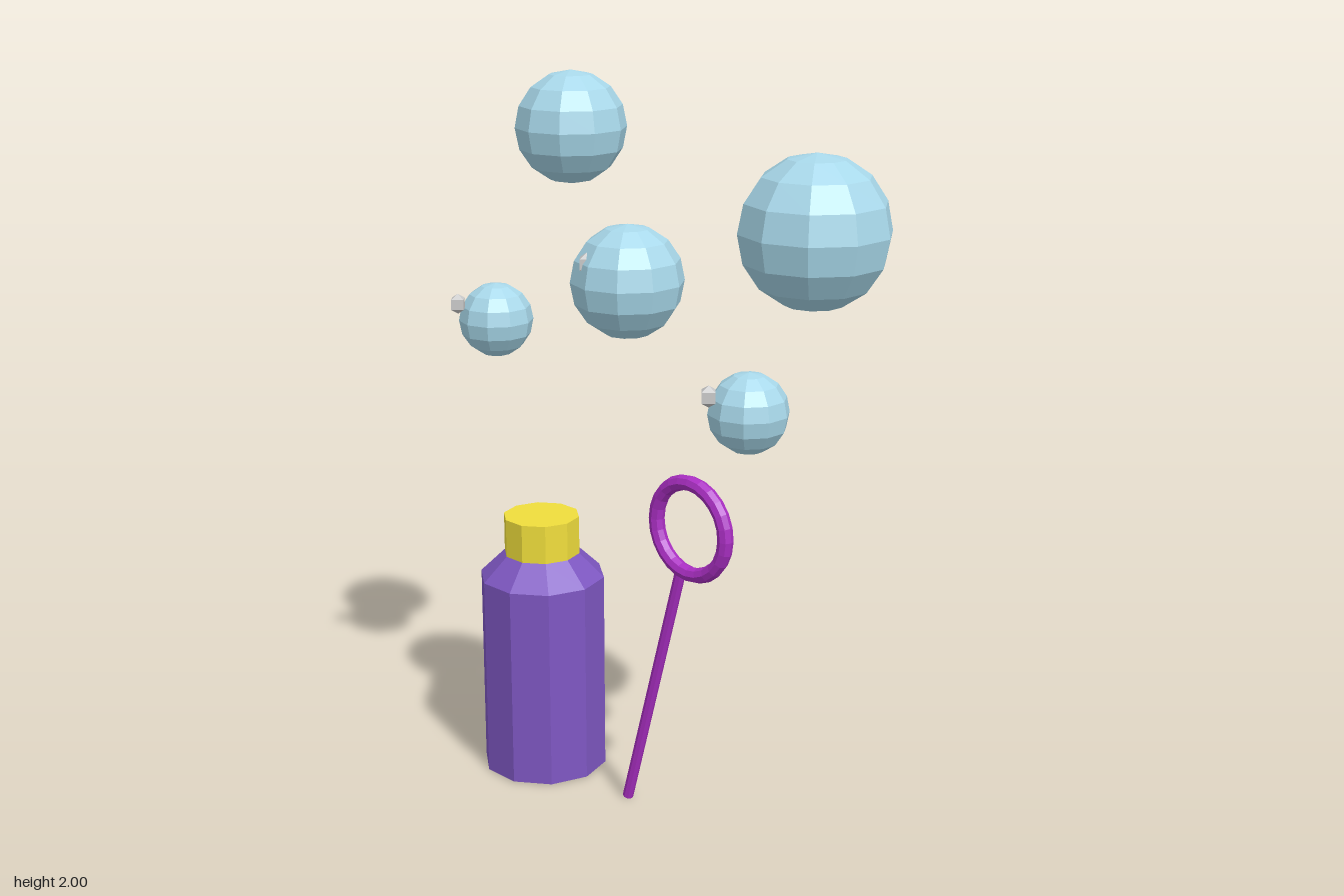
import * as THREE from 'three';

export function createModel() {
  const model = new THREE.Group();
  const paint = (color) => new THREE.MeshStandardMaterial({ color, flatShading: true });
  const purple = paint(0x7e57c2), yellow = paint(0xf0de3c), magenta = paint(0xab2fc4);
  const blue = paint(0xa8d8ea), grey = paint(0xcccccc);

  const add = (name, geometry, material, [x, y, z], parent = model) => {
    const mesh = new THREE.Mesh(geometry, material);
    mesh.name = name;
    mesh.position.set(x, y, z);
    parent.add(mesh);
    return mesh;
  };

  // Bottle: ten-sided body, sloping shoulder and cap, one corner facing +x
  const bottle = new THREE.Group();
  bottle.name = 'bottle';
  bottle.position.set(-0.417, 0, 0.022);
  bottle.rotation.y = Math.PI / 2;
  model.add(bottle);
  const profile = [[0, 0], [0.178, 0], [0.178, 0.575], [0.108, 0.643], [0, 0.643]];
  add('bottleBody', new THREE.LatheGeometry(profile.map(([r, y]) => new THREE.Vector2(r, y)), 10),
    purple, [0, 0, 0], bottle);
  add('bottleCap', new THREE.CylinderGeometry(0.108, 0.108, 0.11, 10), yellow, [0, 0.697, 0], bottle);

  // Wand: leaning handle with a ring on top
  const wand = new THREE.Group();
  wand.name = 'wand';
  wand.position.set(0.17, 0.858, 0.022);
  wand.rotation.z = -0.272;
  model.add(wand);
  add('wandRing', new THREE.TorusGeometry(0.125, 0.021, 8, 24), magenta, [0, 0, 0], wand);
  add('wandHandle', new THREE.CylinderGeometry(0.015, 0.015, 0.762, 8), magenta, [0, -0.506, 0], wand);

  // Bubbles: centre, radius, and whether a small glint sits at the front
  const bubbles = [
    [-0.275, 1.853, 0.02, 0.147, false],
    [0.508, 1.675, -0.05, 0.19, false],
    [0.01, 1.5, 0.092, 0.147, true],
    [-0.596, 1.285, 0.02, 0.104, true],
    [0.366, 1.213, 0.02, 0.104, true],
  ];
  const sphere = new THREE.SphereGeometry(1, 10, 8).rotateY(Math.PI / 2);
  const glint = new THREE.SphereGeometry(0.028, 4, 3);
  for (const [x, y, z, r, hasGlint] of bubbles) {
    add('bubble', sphere, blue, [x, y, z]).scale.setScalar(r);
    if (hasGlint) add('bubbleGlint', glint, grey, [x - 0.035, y + 0.056, z + 0.107]);
  }

  return model;
}
